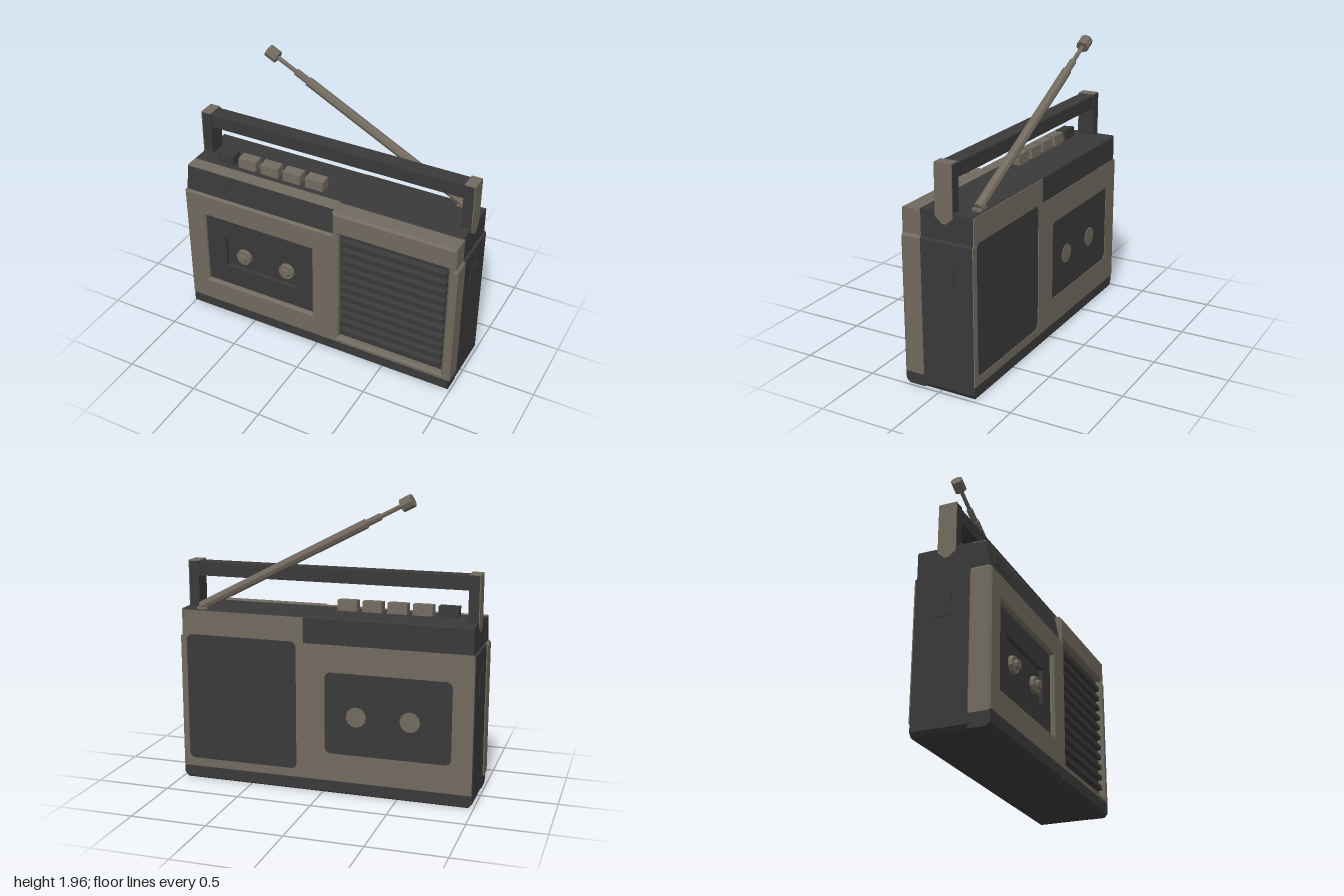
import * as THREE from 'three';

const taupe = new THREE.MeshStandardMaterial({ color: 0x716a5f, flatShading: true });
taupe.name = 'warm grey plastic';
const dark = new THREE.MeshStandardMaterial({ color: 0x393939, flatShading: true });
dark.name = 'charcoal plastic';

// closed polygon from [x, y] pairs
const poly = (pts) => new THREE.Shape(pts.map(([x, y]) => new THREE.Vector2(x, y)));

// rectangle with rounded corners
function roundRect(x0, y0, x1, y1, r) {
  const p = new THREE.Path();
  p.absarc(x1 - r, y1 - r, r, 0, Math.PI / 2);
  p.absarc(x0 + r, y1 - r, r, Math.PI / 2, Math.PI);
  p.absarc(x0 + r, y0 + r, r, Math.PI, Math.PI * 1.5);
  p.absarc(x1 - r, y0 + r, r, Math.PI * 1.5, Math.PI * 2);
  p.closePath();
  return p;
}

export function createModel() {
  const radio = new THREE.Group();
  radio.name = 'cassetteRadio';

  function add(name, geometry, material, parent = radio) {
    const mesh = new THREE.Mesh(geometry, material);
    mesh.name = name;
    parent.add(mesh);
    return mesh;
  }
  // box given by its limits
  function box(name, x0, x1, y0, y1, z0, z1, material, parent) {
    const g = new THREE.BoxGeometry(x1 - x0, y1 - y0, z1 - z0);
    g.translate((x0 + x1) / 2, (y0 + y1) / 2, (z0 + z1) / 2);
    return add(name, g, material, parent);
  }
  // front outline extruded between two depths, edges optionally bevelled
  function slab(name, shape, z0, z1, bevel, material) {
    const g = new THREE.ExtrudeGeometry(shape, {
      depth: z1 - z0 - 2 * bevel, bevelEnabled: bevel > 0, bevelSize: bevel,
      bevelThickness: bevel, bevelOffset: -bevel, bevelSegments: 1, curveSegments: 5,
    });
    g.translate(0, 0, z0 + bevel);
    return add(name, g, material);
  }
  // side profile of [z, y] points extruded along x
  function prism(name, pts, x0, x1, material, parent) {
    const g = new THREE.ExtrudeGeometry(poly(pts), { depth: x1 - x0, bevelEnabled: false });
    g.rotateY(-Math.PI / 2);
    g.translate(x1, 0, 0);
    return add(name, g, material, parent);
  }

  // rear case
  slab('rearCase', poly([[-0.965, 0], [0.965, 0], [0.99, 0.03], [0.99, 0.985], [0.976, 0.995],
    [0.976, 1.168], [-0.976, 1.168], [-0.976, 0.995], [-0.99, 0.985], [-0.99, 0.03]]),
  -0.245, 0.125, 0.008, dark);

  // front shell with cassette and speaker openings
  const shell = poly([[-0.997, 0.09], [0.997, 0.09], [0.997, 0.985], [0.982, 1.0], [0.982, 1.16],
    [0.13, 1.16], [0.13, 0.99], [-0.985, 0.99], [-0.997, 0.975]]);
  shell.holes.push(poly([[-0.85, 0.27], [-0.85, 0.815], [-0.02, 0.815], [-0.02, 0.27]]));
  shell.holes.push(poly([[0.175, 0.14], [0.175, 1.0], [0.935, 1.0], [0.935, 0.14]]));
  slab('frontShell', shell, 0.105, 0.25, 0.015, taupe);

  // base strip along the front, in two lengths
  const baseProfile = [[0.11, 0.005], [0.222, 0.005], [0.247, 0.03], [0.247, 0.105], [0.11, 0.105]];
  prism('frontBaseLeft', baseProfile, 0.134, 0.985, dark);
  prism('frontBaseRight', baseProfile, -0.985, 0.13, dark);

  // sloping tuner panel and its lid
  prism('tunerPanel', [[0.11, 0.98], [0.237, 0.98], [0.205, 1.155], [0.11, 1.16]], -0.98, 0.13, dark);
  prism('tunerLid', [[0.12, 1.158], [0.205, 1.153], [0.205, 1.16], [0.12, 1.166]], -0.98, 0.13, taupe);
  const badge = box('tunerWindow', -0.11, 0.11, -0.035, 0.035, -0.004, 0.004, dark);
  badge.position.set(-0.78, 1.075, 0.222);
  badge.rotation.x = -0.18;

  // cassette door with recessed window
  const door = poly([[-0.86, 0.26], [-0.01, 0.26], [-0.01, 0.825], [-0.86, 0.825]]);
  door.holes.push(poly([[-0.705, 0.425], [-0.705, 0.665], [-0.145, 0.665], [-0.145, 0.425]]));
  slab('cassetteDoor', door, 0.12, 0.222, 0, dark);
  box('cassetteWindow', -0.71, -0.14, 0.42, 0.67, 0.12, 0.195, dark);

  // tape spindles
  for (const x of [-0.57, -0.235]) {
    const hub = new THREE.Group();
    hub.name = 'spindle';
    hub.position.set(x, 0.53, 0.19);
    radio.add(hub);
    add('spindleRing', new THREE.CylinderGeometry(0.055, 0.06, 0.03, 10).rotateX(Math.PI / 2)
      .translate(0, 0, 0.017), taupe, hub);
    add('spindlePin', new THREE.CylinderGeometry(0.03, 0.034, 0.03, 8).rotateX(Math.PI / 2)
      .translate(0, 0, 0.04), taupe, hub);
  }

  // speaker grille
  box('grilleBack', 0.165, 0.945, 0.13, 1.01, 0.12, 0.205, dark);
  for (let i = 0; i < 11; i++) {
    const y = 0.2 + i * 0.0735;
    prism('grilleSlat', [[0.2, y - 0.022], [0.236, y - 0.016], [0.236, y + 0.012], [0.2, y + 0.022]],
      0.195, 0.92, dark);
  }

  // painted back panel with dark speaker and cassette areas
  const back = poly([[-0.985, 0.085], [0.985, 0.085], [0.985, 0.985], [0.972, 0.995], [0.972, 1.162],
    [0.13, 1.162], [0.13, 0.995], [-0.972, 0.995], [-0.985, 0.985]]);
  back.holes.push(roundRect(0.18, 0.14, 0.945, 1.0, 0.04));
  back.holes.push(roundRect(-0.85, 0.27, -0.015, 0.815, 0.04));
  slab('backPanel', back, -0.25, -0.243, 0, taupe);
  for (const x of [-0.58, -0.225]) {
    add('backDisc', new THREE.CylinderGeometry(0.066, 0.066, 0.006, 20).rotateX(Math.PI / 2)
      .translate(x, 0.53, -0.247), taupe);
  }

  // side plates
  for (const s of [-1, 1]) {
    box('sidePlate', s * 0.991 - 0.004, s * 0.991 + 0.004, 0.71, 0.85, -0.115, 0, dark);
  }

  // piano keys, the outermost one dark
  for (let i = 0; i < 5; i++) {
    const x = -0.825 + i * 0.168;
    prism('key', [[0, 1.15], [0.085, 1.15], [0.08, 1.235], [0.005, 1.24]], x, x + 0.13, i ? taupe : dark);
  }

  // carrying handle
  const handle = new THREE.Group();
  handle.name = 'handle';
  radio.add(handle);
  const armProfile = [[-0.11, 1.14], [-0.065, 1.1], [-0.035, 1.1], [0.01, 1.14], [0.01, 1.465], [-0.11, 1.465]];
  for (const s of [-1, 1]) {
    const inner = s * 0.907, outer = s * 0.974, face = s * 0.98;
    prism('handleArm', armProfile, Math.min(inner, outer), Math.max(inner, outer), dark, handle);
    prism('handleArmFace', armProfile, Math.min(outer, face), Math.max(outer, face), taupe, handle);
    box('handleArmCap', Math.min(inner, face), Math.max(inner, face), 1.464, 1.471, -0.108, 0.008, taupe, handle);
  }
  box('handleBar', -0.91, 0.91, 1.37, 1.46, -0.105, 0.005, dark, handle);

  // telescopic aerial, built upright and then tilted
  const aerial = new THREE.Group();
  aerial.name = 'aerial';
  aerial.position.set(0.84, 1.19, -0.205);
  aerial.rotation.z = Math.atan2(1.41, 0.735);
  radio.add(aerial);
  const sections = [
    ['aerialTube', -0.01, 1.26, 0.031], ['aerialSleeve', 1.25, 1.36, 0.023],
    ['aerialRod', 1.35, 1.53, 0.014], ['aerialTip', 1.51, 1.59, 0.042],
  ];
  for (const [name, a, b, r] of sections) {
    add(name, new THREE.CylinderGeometry(r, r, b - a, 8).translate(0, (a + b) / 2, 0), taupe, aerial);
  }
  box('aerialMount', 0.8, 0.87, 1.16, 1.185, -0.235, -0.175, taupe);

  return radio;
}
